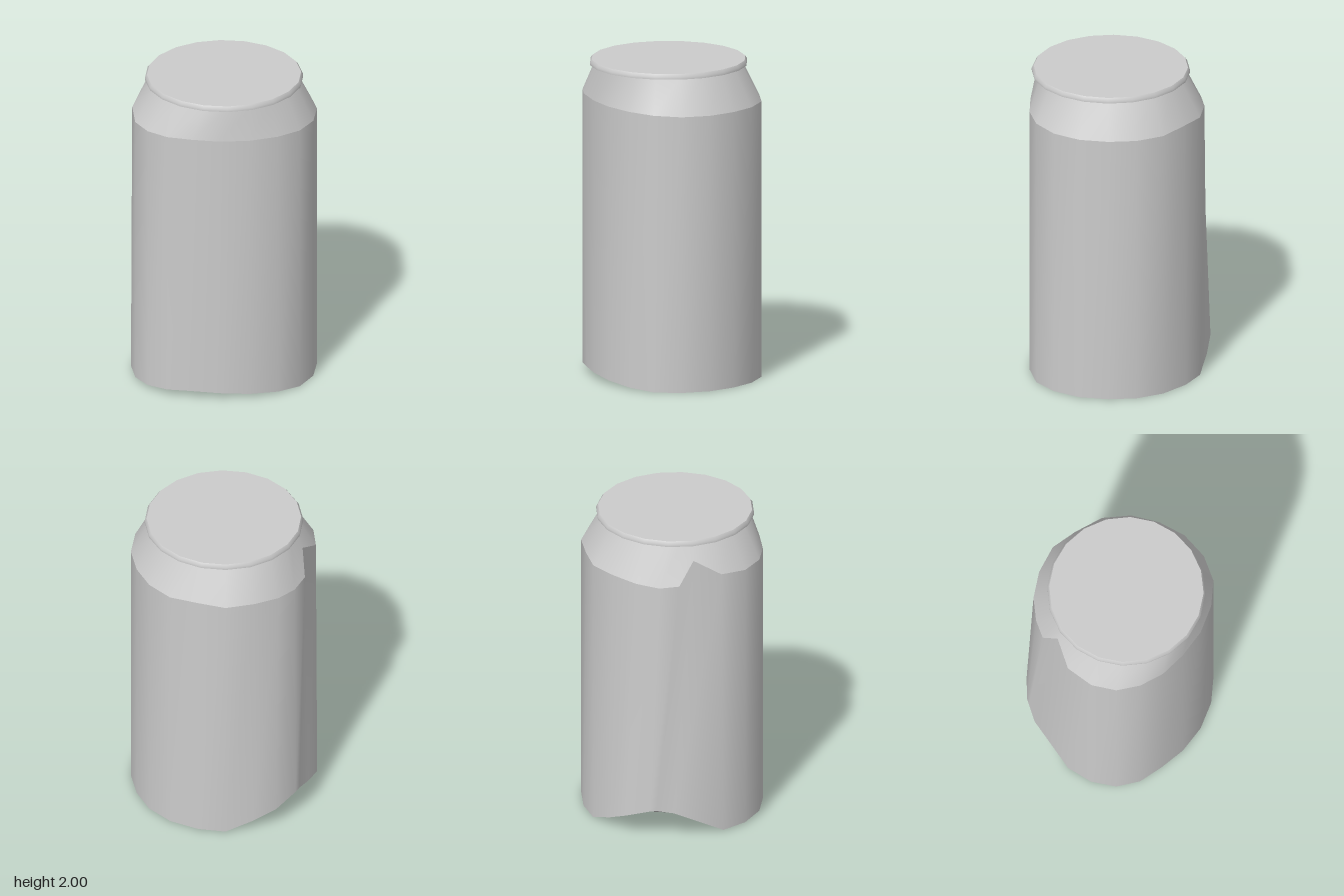
import * as THREE from 'three';
import { toCreasedNormals } from 'three/addons/utils/BufferGeometryUtils.js';

const material = new THREE.MeshStandardMaterial({ color: 0xcccccc, side: THREE.DoubleSide });

// Columns of the crumpled can as steps of 18 degrees, from +x round by the back;
// one extra column at 9.5 forms the ridge beside the dent.
const steps = [0, 1, 2, 3, 4, 5, 6, 7, 8, 9, 9.5, 10, 11, 12, 13, 14, 15, 16, 17, 18, 19];

// Dented outline of the body as x, z
const outline = [
  [0.58, 0.03], [0.555, -0.15], [0.47, -0.31], [0.35, -0.44], [0.19, -0.525],
  [0, -0.553], [-0.17, -0.53], [-0.33, -0.46], [-0.455, -0.39], [-0.54, -0.255],
  [-0.552, -0.215], [-0.58, -0.11], [-0.54, 0.21], [-0.47, 0.365], [-0.36, 0.48],
  [-0.22, 0.535], [-0.06, 0.533], [0.11, 0.512], [0.285, 0.445], [0.435, 0.335], [0.54, 0.2],
];

// Height of the bent lower rim, by column
const rimHeight = {
  7: 0.07, 8: 0.135, 9: 0.19, 10: 0.195, 11: 0.18, 12: 0.01,
  13: 0.012, 14: 0.025, 15: 0.037, 16: 0.045, 17: 0.042, 18: 0.028, 19: 0.012,
};

// Columns that are pushed in at the shoulder
const shoulderDent = {
  5: [0, 1.75, -0.537], 7: [-0.33, 1.745, -0.44], 8: [-0.45, 1.73, -0.32],
  9: [-0.515, 1.715, -0.19], 10: [-0.545, 1.73, -0.07],
  11: [-0.5, 1.875, 0.03], 12: [-0.535, 1.78, 0.2], 16: [-0.06, 1.775, 0.55],
};

// Skin a stack of closed rings, ordered so that faces point outward
function loft(name, rings) {
  const n = steps.length;
  const index = [];
  for (let r = 0; r < rings.length - 1; r++) {
    for (let i = 0; i < n; i++) {
      const j = (i + 1) % n;
      const a = r * n + i, b = r * n + j, c = b + n, d = a + n;
      index.push(a, b, c, a, c, d);
    }
  }
  const geometry = new THREE.BufferGeometry();
  geometry.setAttribute('position', new THREE.Float32BufferAttribute(rings.flat(2), 3));
  geometry.setIndex(index);
  const mesh = new THREE.Mesh(toCreasedNormals(geometry, 0.8), material);
  mesh.name = name;
  return mesh;
}

// Regular ring with the same columns as the body
function roundRing(radius, y, cx, cz) {
  return steps.map((s) => {
    const angle = (s * Math.PI) / 10;
    return [cx + radius * Math.cos(angle), y, cz - radius * Math.sin(angle)];
  });
}

export function createModel() {
  const can = new THREE.Group();
  can.name = 'dentedCan';

  const rim = outline.map(([x, z], i) => [x, rimHeight[i] ?? 0, z]);
  const shoulder = outline.map(([x, z], i) =>
    shoulderDent[i] ?? [x, 1.745 + 0.04 * Math.max(0, z), z]);
  const neck = roundRing(0.46, 1.97, 0.008, 0.03);

  can.add(loft('bodyWall', [rim, shoulder]));
  can.add(loft('shoulder', [shoulder, neck]));

  // Shallow underside, running up to the bent rim
  can.add(loft('underside', [
    roundRing(0.001, 0.04, 0, 0),
    roundRing(0.28, 0.03, 0, 0),
    rim,
  ]));

  // Flat lid with a thin rolled lip
  const profile = [[0.44, 1.967], [0.49, 1.967], [0.49, 1.983], [0.478, 2], [0, 2]]
    .map(([r, y]) => new THREE.Vector2(r, y));
  const lid = new THREE.Mesh(
    toCreasedNormals(new THREE.LatheGeometry(profile, 20), 0.7), material);
  lid.name = 'lid';
  lid.position.set(0.008, 0, 0.03);
  can.add(lid);

  return can;
}
